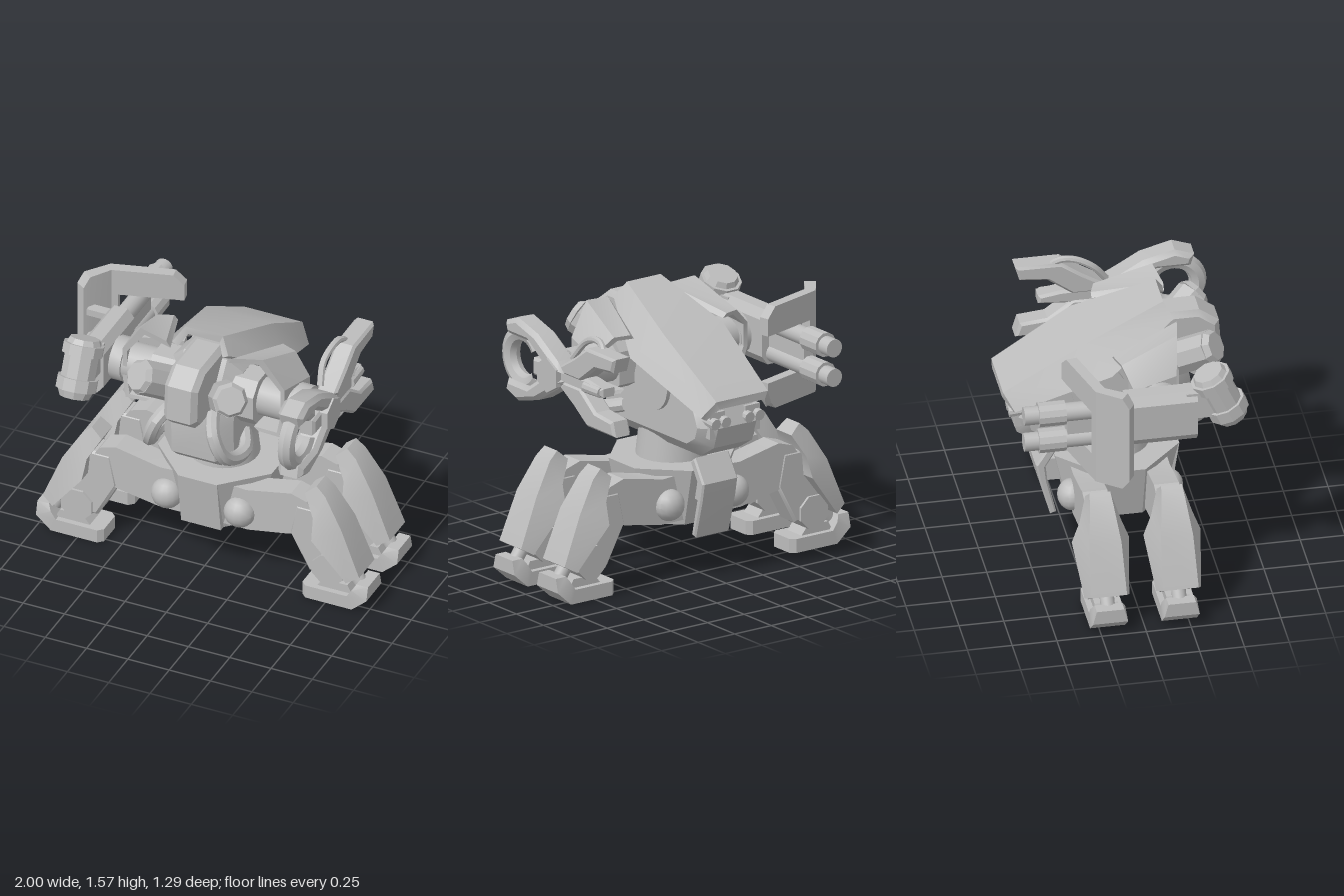
import * as THREE from 'three';
import { toCreasedNormals } from 'three/addons/utils/BufferGeometryUtils.js';

const V = (p) => new THREE.Vector3(...p);

// Prism with bevelled edges: outline in x/y, centred on z = c
function prismZ(pts, depth, c = 0, bevel = 0) {
  const g = new THREE.ExtrudeGeometry(new THREE.Shape(pts.map((p) => new THREE.Vector2(...p))), {
    depth: depth - 2 * bevel, bevelEnabled: bevel > 0, bevelSize: bevel,
    bevelThickness: bevel, bevelOffset: -bevel, bevelSegments: 1,
  });
  return g.translate(0, 0, c - depth / 2 + bevel);
}

// Same, with the outline in z/y and centred on x = c
const prismX = (pts, width, c = 0, bevel = 0) => prismZ(pts, width, 0, bevel).rotateY(-Math.PI / 2).translate(c, 0, 0);

const box = (x0, x1, y0, y1, z0, z1) =>
  new THREE.BoxGeometry(x1 - x0, y1 - y0, z1 - z0).translate((x0 + x1) / 2, (y0 + y1) / 2, (z0 + z1) / 2);

// Cylinder running from a to b
function rod(a, b, ra, rb = ra, sides = 16) {
  const A = V(a), d = V(b).sub(A);
  const g = new THREE.CylinderGeometry(rb, ra, d.length(), sides).rotateY(Math.PI / sides);
  g.applyQuaternion(new THREE.Quaternion().setFromUnitVectors(V([0, 1, 0]), d.clone().normalize()));
  const m = A.addScaledVector(d, 0.5);
  return g.translate(m.x, m.y, m.z);
}

const hose = (pts, r, seg = 14) => new THREE.TubeGeometry(new THREE.CatmullRomCurve3(pts.map(V)), seg, r, 8);

// Solid through rings of equal, even point count; end caps are strips of quads
function loft(rings) {
  const out = [], n = rings[0].length;
  const quad = (a, b, c, d) => out.push(...a, ...b, ...c, ...a, ...c, ...d);
  for (let i = 0; i + 1 < rings.length; i++)
    for (let j = 0; j < n; j++) {
      const k = (j + 1) % n;
      quad(rings[i][j], rings[i][k], rings[i + 1][k], rings[i + 1][j]);
    }
  const first = rings[0], last = rings[rings.length - 1];
  for (let j = 0; j < n / 2 - 1; j++) {
    quad(first[n - 1 - j], first[n - 2 - j], first[j + 1], first[j]);
    quad(last[j], last[j + 1], last[n - 2 - j], last[n - 1 - j]);
  }
  const g = new THREE.BufferGeometry().setAttribute('position', new THREE.Float32BufferAttribute(out, 3));
  let vol = 0;
  for (let i = 0; i < out.length; i += 9)
    vol += V(out.slice(i, i + 3)).dot(V(out.slice(i + 3, i + 6)).cross(V(out.slice(i + 6, i + 9))));
  return vol < 0 ? flip(g) : g;
}

// Reverses the winding of an unindexed geometry
function flip(g) {
  const a = g.attributes.position;
  for (let i = 0; i < a.count; i += 3) {
    const p = [a.getX(i), a.getY(i), a.getZ(i)];
    a.setXYZ(i, a.getX(i + 1), a.getY(i + 1), a.getZ(i + 1));
    a.setXYZ(i + 1, ...p);
  }
  return g;
}

export function createModel() {
  const model = new THREE.Group();
  model.name = 'walker';
  const grey = new THREE.MeshStandardMaterial({ color: 0xbcbcbc });
  grey.name = 'grey';

  const add = (name, g) => {
    const mesh = new THREE.Mesh(toCreasedNormals(g, 0.5), grey);
    mesh.name = name;
    model.add(mesh);
  };
  // A part on the left and its mirror image on the right
  const both = (name, g) => {
    add(name + 'Left', g);
    const m = g.index ? g.toNonIndexed() : g.clone();
    add(name + 'Right', flip(m.scale(-1, 1, 1)));
  };

  // Four legs
  for (const z of [0.2, -0.2]) {
    const end = z > 0 ? 'front' : 'rear', s = Math.sign(z);
    both(end + 'Thigh', prismZ([[0.1, 0.6], [0.26, 0.59], [0.53, 0.645], [0.625, 0.615], [0.68, 0.54],
      [0.68, 0.42], [0.52, 0.375], [0.27, 0.33], [0.1, 0.33]], 0.14, z));
    both(end + 'HipDome', new THREE.SphereGeometry(0.09, 16, 10).scale(1, 1, 0.9).translate(0.22, 0.435, z + s * 0.07));
    both(end + 'Shin', prismZ([[0.56, 0.58], [0.7, 0.58], [0.84, 0.45], [0.88, 0.2], [0.8, 0.15],
      [0.64, 0.165], [0.52, 0.39]], 0.15, z, 0.015));
    // Shin plate: outer edge x, y, half width, then inner edge x, y, half width
    both(end + 'ShinPlate', loft([
      [0.68, 0.73, 0.058, 0.615, 0.674, 0.07], [0.735, 0.68, 0.065, 0.684, 0.55, 0.115],
      [0.845, 0.5, 0.09, 0.695, 0.433, 0.16], [0.957, 0.225, 0.1, 0.888, 0.185, 0.125],
    ].map(([x, y, w, u, v, q]) => [[u, v, z - q], [x, y, z - w], [x, y, z + w], [u, v, z + q]])));
    both(end + 'Ankle', rod([0.76, 0.21, z - 0.09], [0.76, 0.21, z + 0.09], 0.1, 0.1, 8));
    both(end + 'AnklePiston', rod([0.86, 0.22, z], [0.94, 0.1, z], 0.04));
    both(end + 'AnkleMount', prismZ([[0.68, 0.07], [0.9, 0.07], [0.87, 0.13], [0.73, 0.13]], 0.13, z));
    // Foot with upturned toe: bottom x, y, top x, y, half width
    both(end + 'Foot', loft([
      [0.6, 0, 0.6, 0.08, 0.07], [0.63, 0, 0.63, 0.08, 0.098], [0.91, 0, 0.88, 0.08, 0.098],
      [1, 0.08, 0.91, 0.125, 0.098], [1, 0.16, 0.93, 0.16, 0.077],
    ].map(([a, b, c, d, w]) => [[a, b, z - w], [c, d, z - w], [c, d, z + w], [a, b, z + w]])));
  }

  // Pelvis and waist
  const octagon = (y, w, d, f) => [[-w, y, -f], [-f, y, -d], [f, y, -d], [w, y, -f], [w, y, f], [f, y, d], [-f, y, d], [-w, y, f]];
  add('pelvis', loft([octagon(0.63, 0.345, 0.345, 0.12), octagon(0.3, 0.27, 0.27, 0.115)]));
  add('pelvisFront', prismX([[0.2, 0.63], [0.35, 0.63], [0.3, 0.3], [0.2, 0.3]], 0.24));
  add('rearFlap', prismX([[-0.325, 0.68], [-0.365, 0.71], [-0.45, 0.575], [-0.43, 0.47], [-0.37, 0.25],
    [-0.335, 0.26], [-0.385, 0.47], [-0.395, 0.56]], 0.24, 0, 0.01));
  add('flapMount', box(-0.07, 0.07, 0.45, 0.58, -0.4, -0.25));
  add('waist', rod([0, 0.6, 0], [0, 0.82, 0], 0.205, 0.18, 24));

  // Hull
  add('hull', prismX([[0.4, 0.82], [0.315, 0.745], [-0.44, 0.745], [-0.56, 0.82], [-0.6, 0.94], [-0.54, 1.08],
    [-0.25, 1.28], [0.02, 1.38], [0.24, 1.4], [0.38, 1.2], [0.41, 1.05]], 0.42, 0, 0.08));
  both('hullDrum', rod([0.1, 1.1, -0.12], [0.235, 1.1, -0.12], 0.15, 0.15, 24));
  both('exhaustBlock', box(0.07, 0.17, 0.88, 1.03, -0.58, -0.45));
  for (const x of [0.08, 0.15]) both('exhaust', rod([x, 0.98, -0.5], [x, 0.97, -0.61], 0.032, 0.032, 10));

  // Cowl: ridge x, y, z then outer edge x, y, z
  add('cowl', loft([
    [0.115, 1.565, 0.26, 0.17, 1.48, 0.31], [0.2, 1.39, -0.2, 0.335, 1.25, -0.065], [0.175, 1.115, -0.645, 0.24, 1.02, -0.59],
  ].map(([rx, ry, rz, ox, oy, oz]) => [
    [-ox, oy, oz], [-rx, ry, rz], [rx, ry, rz], [ox, oy, oz],
    [ox - 0.035, oy - 0.02, oz], [rx - 0.02, ry - 0.045, rz], [0.02 - rx, ry - 0.045, rz], [0.035 - ox, oy - 0.02, oz],
  ])));

  // Head, side canisters and chin hoses
  add('head', prismX([[0.2, 1.46], [0.47, 1.46], [0.58, 1.38], [0.595, 1.17], [0.53, 1.11], [0.2, 1.11]], 0.2, 0, 0.03));
  both('canister', rod([0.1, 1.16, 0.25], [0.27, 1.335, 0.5], 0.1, 0.1, 8));
  both('canisterCap', rod([0.27, 1.335, 0.5], [0.285, 1.35, 0.525], 0.1, 0.08, 8));
  both('chinHose', hose([[0.12, 1.14, 0.4], [0.17, 1.08, 0.51], [0.22, 0.95, 0.5], [0.25, 0.88, 0.4], [0.26, 0.87, 0.28], [0.2, 0.9, 0.16]], 0.04));

  // Shoulders, with hexagonal pads that taper towards the back
  both('shoulderBlock', prismX([[0.05, 1.06], [0.12, 1.02], [0.24, 1.02], [0.31, 1.1], [0.31, 1.24], [0.24, 1.31], [0.1, 1.31], [0.05, 1.25]], 0.24, 0.2));
  const padRing = (pts) => [...pts, ...pts.map(([x, y, z]) => [x - 0.025, 1.2 + (y - 1.2) * 0.87, z]).reverse()];
  both('shoulderPad', loft([
    padRing([[0.2, 1.48, 0.32], [0.37, 1.5, 0.29], [0.49, 1.315, 0.265], [0.49, 1.13, 0.265], [0.47, 1, 0.27], [0.34, 1.02, 0.29]]),
    padRing([[0.33, 1.38, -0.06], [0.42, 1.375, -0.03], [0.53, 1.27, 0.02], [0.53, 1.13, 0.02], [0.48, 1.04, 0], [0.38, 1.05, -0.04]]),
  ]));
  both('upperArm', rod([0.25, 1.17, 0.16], [0.55, 1.17, 0.16], 0.11, 0.11, 20));

  // Claw arm on the left
  const cx = 0.655;
  add('clawJoint', rod([0.52, 1.17, 0.16], [0.6, 1.17, 0.16], 0.125, 0.125, 16));
  add('clawHub', rod([0.58, 1.17, 0.16], [0.74, 1.17, 0.16], 0.1, 0.1, 6));
  add('clawForearm', prismX([[0.34, 1.22], [0.16, 1.23], [-0.18, 1.22], [-0.3, 1.2], [-0.3, 1.15], [-0.18, 1.14], [0.16, 1.12], [0.34, 1.12]], 0.1, cx, 0.015));
  add('clawNub', rod([0.69, 1.175, -0.14], [0.69, 1.175, -0.28], 0.035, 0.03, 10));
  add('clawRing', new THREE.TorusGeometry(0.143, 0.05, 8, 24, 5.2).rotateZ(Math.PI + 0.54).rotateY(-Math.PI / 2).translate(cx, 1.18, 0.455));
  const front = [[0.57, 1.38], [0.46, 1.42], [0.28, 1.37], [0.1, 1.26], [0.04, 1.2], [0.2, 1.2], [0.36, 1.31], [0.55, 1.31]];
  const back = [[0.08, 1.24], [-0.05, 1.32], [-0.17, 1.405], [-0.43, 1.405], [-0.405, 1.32], [-0.25, 1.305], [-0.11, 1.2], [0.04, 1.2]];
  for (const up of [true, false]) {
    const level = (y) => (up ? y : 2.36 - y);
    const side = (pts) => pts.map(([z, y]) => [z, level(y)]);
    const name = up ? 'upper' : 'lower';
    add(name + 'ClawGrip', prismX(side(front), 0.15, cx, 0.025));
    add(name + 'ClawFinger', prismX(side(back), 0.12, cx, 0.015));
    add(name + 'ClawHose', hose([[0.62, 1.27, 0.08], [0.6, 1.37, 0], [0.61, 1.42, -0.1], [0.62, 1.42, -0.18], [0.64, 1.37, -0.24]]
      .map(([x, y, z]) => [x, level(y), z]), 0.02));
  }

  // Cannon arm on the right
  const gx = -0.65;
  add('cannonJoint', rod([-0.5, 1.17, 0.16], [-0.6, 1.17, 0.16], 0.125, 0.125, 16));
  add('cannonBody', prismZ([[-0.73, 1.08], [-0.69, 1.03], [-0.61, 1.03], [-0.57, 1.08], [-0.57, 1.29], [-0.61, 1.34], [-0.69, 1.34], [-0.73, 1.29]], 0.4, 0.14));
  add('barrelSpine', box(-0.68, -0.62, 1.09, 1.26, -0.38, 0));
  for (const y of [1.26, 1.09]) {
    add('barrel', rod([gx, y, 0], [gx, y, -0.62], 0.052));
    add('barrelSleeve', rod([gx, y, -0.39], [gx, y, -0.54], 0.07, 0.07, 12));
    add('shieldBracket', box(-0.85, -0.62, y - 0.02, y + 0.02, -0.1, -0.04));
  }
  // Tilted drum at the front of the cannon arm
  const along = (t) => [gx, 1.28 - t * 0.91, 0.475 + t * 0.42];
  [[-0.16, -0.13, 0.085, 0.1], [-0.13, -0.07, 0.117, 0.117], [-0.07, 0.06, 0.1, 0.1], [0.06, 0.13, 0.117, 0.117], [0.13, 0.175, 0.105, 0.085]]
    .forEach(([a, b, ra, rb]) => add('drumSection', rod(along(a), along(b), ra, rb, 10)));
  add('drumMount', box(-0.71, -0.59, 1.17, 1.33, 0.28, 0.44));

  // Bent shield with a notch for the barrels: outer x, z, inner x, z, bottom and top at each fold
  const shield = (rows) => loft(rows.map(([a, b, c, d, y0, y1]) => [[a, y0, b], [a, y1, b], [c, y1, d], [c, y0, d]]));
  add('shieldWing', shield([
    [-0.75, -0.26, -0.735, -0.2, 0.885, 1.47], [-0.8, -0.245, -0.77, -0.19, 0.885, 1.47],
    [-0.9, -0.115, -0.845, -0.075, 0.885, 1.47], [-0.925, -0.08, -0.87, -0.045, 0.945, 1.41],
  ]));
  add('shieldUpperArm', shield([
    [-0.39, -0.36, -0.38, -0.3, 1.31, 1.41], [-0.45, -0.345, -0.44, -0.285, 1.31, 1.47], [-0.75, -0.26, -0.735, -0.2, 1.31, 1.47],
  ]));
  add('shieldLowerArm', shield([
    [-0.39, -0.36, -0.38, -0.3, 0.95, 1.04], [-0.45, -0.345, -0.44, -0.285, 0.885, 1.04], [-0.75, -0.26, -0.735, -0.2, 0.885, 1.04],
  ]));

  return model;
}
